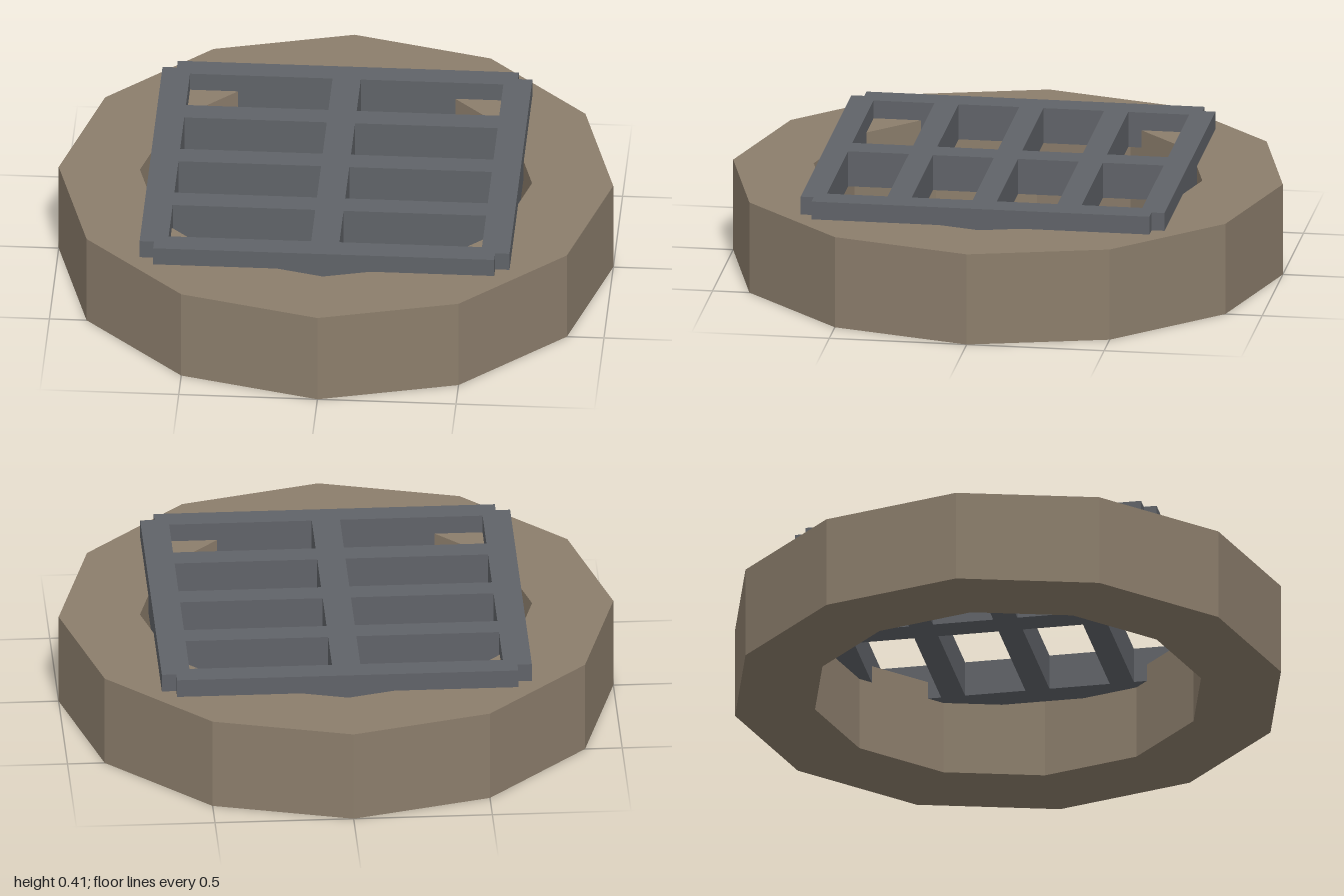
import * as THREE from 'three';

const stone = new THREE.MeshStandardMaterial({ name: 'brown stone', color: 0x8b7d6b });
const iron = new THREE.MeshStandardMaterial({ name: 'grey iron', color: 0x606368 });

// Corner points of a regular twelve-sided outline
function polygon(radius, sides = 12) {
  return Array.from({ length: sides }, (_, i) => {
    const a = (i / sides) * Math.PI * 2;
    return new THREE.Vector2(radius * Math.cos(a), radius * Math.sin(a));
  });
}

// Flat plate lying in the ground plane, from bottom to top
function plate(name, shape, bottom, top, material) {
  const geometry = new THREE.ExtrudeGeometry(shape, { depth: top - bottom, bevelEnabled: false });
  geometry.rotateX(-Math.PI / 2);
  geometry.translate(0, bottom, 0);
  const mesh = new THREE.Mesh(geometry, material);
  mesh.name = name;
  return mesh;
}

export function createModel() {
  const group = new THREE.Group();
  group.name = 'gratedRing';

  // Stone ring with a twelve-sided opening
  const ring = new THREE.Shape(polygon(1));
  ring.holes.push(new THREE.Path(polygon(0.707)));
  group.add(plate('stoneRing', ring, 0, 0.34, stone));

  // Grate outline: square with a small step at each corner
  const outX = 0.667, outZ = 0.662, inner = 0.615;
  const outline = [];
  for (const [sx, sz] of [[1, 1], [-1, 1], [-1, -1], [1, -1]]) {
    const step = [[outX, inner], [inner, inner], [inner, outZ]];
    if (sx * sz < 0) step.reverse();
    for (const [x, z] of step) outline.push(new THREE.Vector2(sx * x, sz * z));
  }
  const grate = new THREE.Shape(outline);

  // Two columns of four openings between the bars
  const pitch = 0.309, halfBarX = 0.051, halfBarZ = 0.044;
  for (const side of [-1, 1]) {
    for (let row = -2; row < 2; row++) {
      const x0 = side * halfBarX, x1 = side * 0.565;
      const z0 = row * pitch + halfBarZ, z1 = (row + 1) * pitch - halfBarZ;
      grate.holes.push(new THREE.Path([
        new THREE.Vector2(x0, z0), new THREE.Vector2(x1, z0),
        new THREE.Vector2(x1, z1), new THREE.Vector2(x0, z1),
      ]));
    }
  }
  group.add(plate('ironGrate', grate, 0.275, 0.407, iron));

  return group;
}
